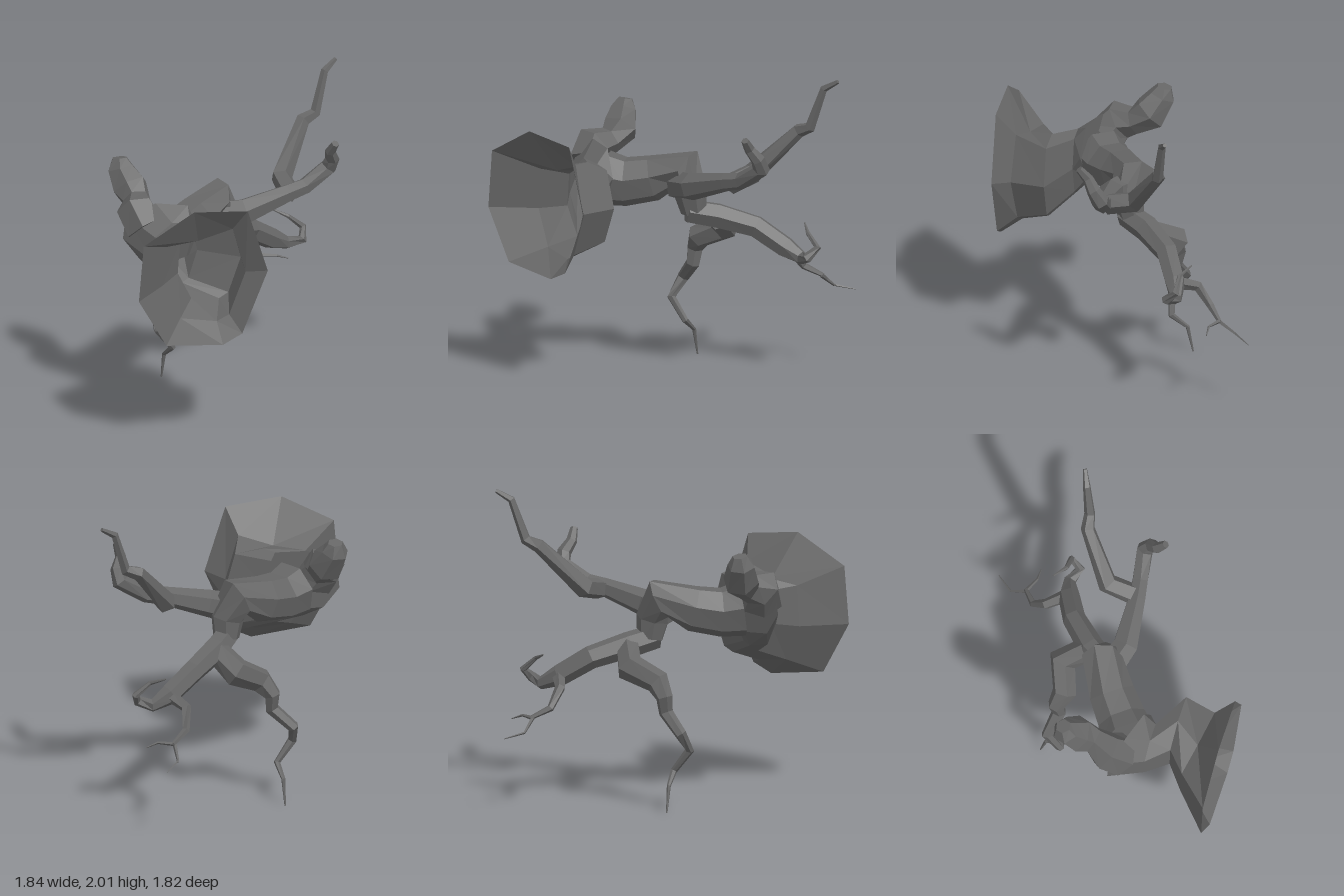
import * as THREE from 'three';

// Skin a list of rings (each counter-clockwise around the direction of travel)
function loft(rings, capEnd) {
  const pos = [], n = rings[0].length;
  const tri = (...corners) => corners.forEach(c => pos.push(c.x, c.y, c.z));
  for (let k = 0; k < rings.length - 1; k++) {
    const a = rings[k], b = rings[k + 1];
    for (let i = 0; i < n; i++) {
      const j = (i + 1) % n;
      tri(a[i], a[j], b[j]);
      tri(a[i], b[j], b[i]);
    }
  }
  const first = rings[0], last = rings[rings.length - 1];
  for (let i = 1; i < n - 1; i++) {
    tri(first[0], first[i + 1], first[i]);
    if (capEnd) tri(last[0], last[i], last[i + 1]);
  }
  const g = new THREE.BufferGeometry();
  g.setAttribute('position', new THREE.Float32BufferAttribute(pos, 3));
  g.computeVertexNormals();
  return g;
}

// Hollow trunk: one uneven outline, moved, scaled and tilted along its length
function trunkGeometry() {
  const outline = [[-0.1, 1], [-0.83, 0.6], [-0.9, -0.2], [-0.5, -0.9],
    [0.32, -1], [0.6, -0.87], [0.97, 0], [0.68, 0.91]];
  const ring = (cx, cy, cz, rx, ry, tilt, notch) => outline.map(([x, y], i) =>
    new THREE.Vector3(cx + rx * x, cy + ry * y - (i === 0 ? notch : 0), cz + tilt * x));
  return loft([
    ring(-0.56, 1.28, 0.31, 0.25, 0.2, 0.08, 0),
    ring(-0.51, 1.18, 0.445, 0.16, 0.21, 0, 0),
    ring(-0.33, 1.15, 0.58, 0.23, 0.265, 0, 0),
    ring(-0.43, 1.14, 0.75, 0.28, 0.33, 0.06, 0.1),
    ring(-0.5, 1.17, 0.91, 0.47, 0.47, 0, 0)
  ], false);
}

// Angular limb tapering from r0 to r1; a joint may set its own radius as a fourth value
function limbGeometry(sides, r0, r1, joints) {
  const pts = joints.map(([x, y, z]) => new THREE.Vector3(x, y, z));
  const last = pts.length - 1;
  const dirs = pts.slice(1).map((p, i) => p.clone().sub(pts[i]).normalize());
  const u = new THREE.Vector3(0.31, 0.9, 0.27);
  const rings = pts.map((p, i) => {
    const t = dirs[Math.max(i - 1, 0)].clone().add(dirs[Math.min(i, last - 1)]).normalize();
    u.addScaledVector(t, -u.dot(t)).normalize();
    const v = new THREE.Vector3().crossVectors(t, u);
    const r = joints[i][3] ?? THREE.MathUtils.lerp(r0, r1, i / last);
    return Array.from({ length: sides }, (_, s) => {
      const a = s / sides * Math.PI * 2;
      return p.clone().addScaledVector(u, Math.cos(a) * r).addScaledVector(v, Math.sin(a) * r);
    });
  });
  return loft(rings, true);
}

export function createModel() {
  const group = new THREE.Group();
  const bark = new THREE.MeshStandardMaterial({ color: 0x666666, flatShading: true, side: THREE.DoubleSide });
  bark.name = 'bark';
  const add = (name, geometry) => {
    const mesh = new THREE.Mesh(geometry, bark);
    mesh.name = name;
    group.add(mesh);
  };
  const limb = (name, sides, r0, r1, ...joints) => add(name, limbGeometry(sides, r0, r1, joints));

  add('hollowTrunk', trunkGeometry());

  // Swollen stub and bent main limb
  limb('brokenStub', 6, 0.14, 0.05, [-0.64, 1.31, 0.28], [-0.68, 1.41, 0.2, 0.13],
    [-0.64, 1.43, 0.1, 0.09], [-0.65, 1.49, 0, 0.12], [-0.69, 1.6, -0.07, 0.09], [-0.69, 1.665, -0.085]);
  limb('mainLimb', 7, 0.18, 0.085, [-0.49, 1.24, 0.29], [-0.38, 1.22, 0.21], [-0.24, 1.25, 0.1, 0.15],
    [-0.06, 1.32, -0.02, 0.135], [0, 1.18, 0, 0.11], [0.01, 1.05, -0.02]);

  // Two upper branches
  limb('upperBranch', 6, 0.1, 0.025, [-0.08, 1.22, 0.03], [0.1, 1.25, 0.09], [0.4, 1.33, 0.075, 0.06],
    [0.52, 1.355, 0.06, 0.055], [0.69, 1.46, 0.04], [0.7, 1.53, 0.08], [0.67, 1.6, 0.125], [0.685, 1.67, 0.18]);
  limb('risingBranch', 5, 0.07, 0.014, [0.42, 1.32, 0.06], [0.43, 1.36, -0.13, 0.07],
    [0.65, 1.645, -0.33], [0.74, 1.68, -0.345], [0.82, 1.94, -0.39], [0.91, 1.995, -0.43]);

  // Two lower branches
  limb('lowerBranch', 6, 0.08, 0.005, [-0.01, 1.06, 0.02], [0.1, 1.02, -0.14, 0.085], [0.28, 0.95, -0.31, 0.075],
    [0.46, 0.83, -0.4, 0.07], [0.58, 0.775, -0.43], [0.67, 0.8, -0.39], [0.695, 0.86, -0.455],
    [0.6, 0.94, -0.46], [0.51, 0.98, -0.52]);
  limb('hangingBranch', 6, 0.08, 0.005, [0.09, 1, -0.16], [0, 0.91, -0.3, 0.095], [-0.17, 0.82, -0.235, 0.08],
    [-0.24, 0.73, -0.27], [-0.24, 0.63, -0.25], [-0.37, 0.51, -0.29], [-0.385, 0.39, -0.2],
    [-0.28, 0.25, -0.22], [-0.3, 0.17, -0.32], [-0.305, 0, -0.355]);

  // Thin forked branch
  limb('thinBranch', 5, 0.045, 0.014, [0.46, 0.83, -0.41], [0.38, 0.78, -0.53],
    [0.4, 0.66, -0.62], [0.5, 0.6, -0.7]);
  limb('lowerTwig', 4, 0.014, 0.003, [0.49, 0.6, -0.69], [0.49, 0.52, -0.8], [0.58, 0.49, -0.905]);
  limb('upperTwig', 4, 0.014, 0.003, [0.49, 0.6, -0.7], [0.59, 0.6, -0.65], [0.67, 0.57, -0.65]);
  return group;
}
